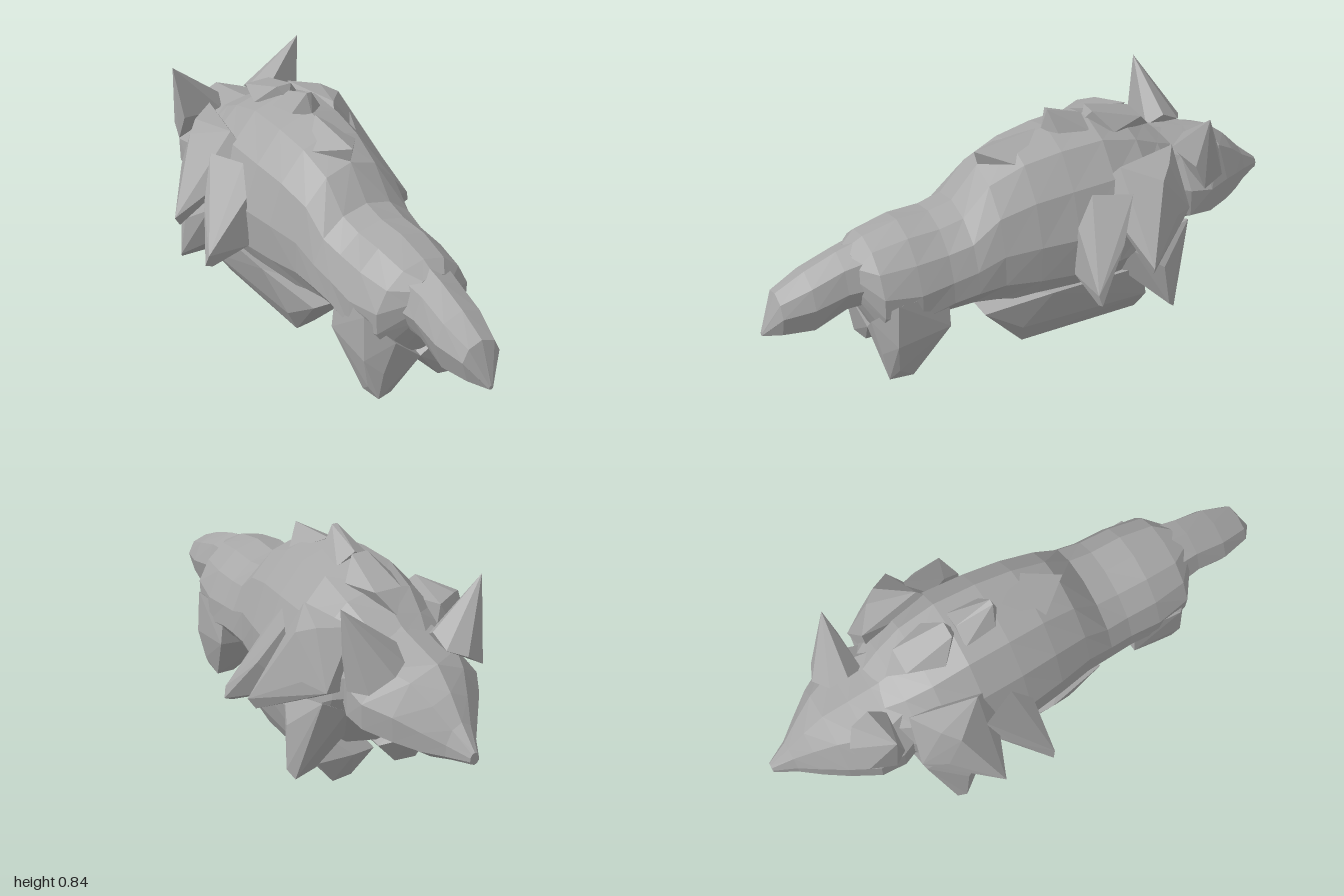
import * as THREE from 'three';
import { ConvexGeometry } from 'three/addons/geometries/ConvexGeometry.js';

const grey = new THREE.MeshStandardMaterial({ color: 0xa8a8a8 });
grey.name = 'stone grey';

// Faceted skin through sections [z, halfWidth, top, middle, bottom], ordered from +z to -z
function loft(name, sections, sides = 14, rough = 0.012) {
  const pos = [], index = [];
  sections.forEach(([z, w, top, mid, bot], i) => {
    for (let k = 0; k < sides; k++) {
      const a = (k / sides) * Math.PI * 2 + Math.PI / 2;
      const s = Math.sin(a);
      // small uneven facets, equal on both sides
      const n = 1 + rough * Math.sin(i * 5.3 + Math.abs(sides / 2 - k) * 3.7);
      pos.push(Math.cos(a) * w * n, mid + s * (s > 0 ? top - mid : mid - bot), z);
    }
  });
  const last = sections.length - 1;
  for (let i = 0; i < last; i++) {
    for (let k = 0; k < sides; k++) {
      const p = i * sides + k, q = i * sides + (k + 1) % sides;
      const r = p + sides, t = q + sides;
      if (k < sides / 2) index.push(p, r, q, q, r, t);
      else index.push(p, r, t, p, t, q);
    }
  }
  for (let k = 1; k < sides - 1; k++) {
    index.push(0, k, k + 1);
    index.push(last * sides, last * sides + k + 1, last * sides + k);
  }
  const indexed = new THREE.BufferGeometry();
  indexed.setAttribute('position', new THREE.Float32BufferAttribute(pos, 3));
  indexed.setIndex(index);
  const geo = indexed.toNonIndexed();
  geo.computeVertexNormals();
  const mesh = new THREE.Mesh(geo, grey);
  mesh.name = name;
  return mesh;
}

// Faceted solid around a few corner points; side = -1 mirrors it
function chunk(name, points, side = 1) {
  const geo = new ConvexGeometry(points.map(([x, y, z]) => new THREE.Vector3(x * side, y, z)));
  const mesh = new THREE.Mesh(geo, grey);
  mesh.name = name;
  return mesh;
}

export function createModel() {
  const model = new THREE.Group();
  model.name = 'crouchingBeast';

  // Trunk from rump to neck
  model.add(loft('body', [
    [0.67, 0.10, 0.49, 0.38, 0.29],
    [0.61, 0.19, 0.52, 0.32, 0.16],
    [0.48, 0.215, 0.55, 0.30, 0.12],
    [0.36, 0.215, 0.55, 0.32, 0.18],
    [0.27, 0.225, 0.57, 0.34, 0.18],
    [0.17, 0.235, 0.685, 0.36, 0.15],
    [0.04, 0.26, 0.745, 0.36, 0.11],
    [-0.10, 0.28, 0.77, 0.36, 0.10],
    [-0.26, 0.29, 0.775, 0.38, 0.10],
    [-0.40, 0.28, 0.73, 0.40, 0.13],
    [-0.50, 0.24, 0.67, 0.44, 0.28],
    [-0.57, 0.19, 0.63, 0.46, 0.34],
  ]));

  // Drooping tail
  model.add(loft('tail', [
    [1.0, 0.008, 0.24, 0.23, 0.225],
    [0.94, 0.075, 0.385, 0.32, 0.21],
    [0.83, 0.105, 0.44, 0.34, 0.20],
    [0.71, 0.108, 0.485, 0.37, 0.26],
    [0.58, 0.13, 0.52, 0.38, 0.27],
  ], 8));

  // Broad head tapering to the muzzle
  model.add(loft('head', [
    [-0.48, 0.20, 0.66, 0.45, 0.34],
    [-0.58, 0.24, 0.635, 0.42, 0.305],
    [-0.67, 0.235, 0.62, 0.40, 0.32],
    [-0.77, 0.175, 0.605, 0.385, 0.31],
    [-0.85, 0.115, 0.54, 0.37, 0.31],
    [-0.92, 0.06, 0.465, 0.365, 0.33],
    [-1.0, 0.017, 0.395, 0.37, 0.35],
  ], 10));

  for (const side of [1, -1]) {
    const pre = side > 0 ? 'left' : 'right';

    // Pointed ears
    model.add(chunk(pre + 'Ear', [
      [0.27, 0.80, -0.61], [0.07, 0.64, -0.63], [0.08, 0.60, -0.70],
      [0.14, 0.58, -0.74], [0.22, 0.52, -0.71], [0.25, 0.50, -0.62],
      [0.245, 0.60, -0.58], [0.09, 0.60, -0.57],
    ], side));

    // Mane locks sweeping back and down
    model.add(chunk(pre + 'UpperManeLock', [
      [0.17, 0.67, -0.52], [0.27, 0.66, -0.45], [0.32, 0.635, -0.40],
      [0.22, 0.67, -0.28], [0.45, 0.37, -0.30], [0.425, 0.33, -0.31],
      [0.28, 0.46, -0.54], [0.33, 0.48, -0.46], [0.15, 0.42, -0.50],
      [0.18, 0.58, -0.20],
    ], side));
    model.add(chunk(pre + 'RearManeLock', [
      [0.30, 0.60, -0.29], [0.24, 0.60, -0.16], [0.27, 0.50, -0.09],
      [0.43, 0.31, -0.09], [0.44, 0.27, -0.10], [0.41, 0.257, -0.10],
      [0.27, 0.31, -0.08], [0.27, 0.34, -0.27], [0.37, 0.45, -0.22],
    ], side));
    model.add(chunk(pre + 'ChestLock', [
      [0.35, 0.10, -0.45], [0.368, 0.13, -0.42], [0.355, 0.29, -0.40],
      [0.26, 0.11, -0.43], [0.23, 0.25, -0.28], [0.20, 0.37, -0.54],
      [0.29, 0.42, -0.53], [0.14, 0.20, -0.42], [0.31, 0.36, -0.30],
    ], side));

    // Long forelegs lying under the chest
    model.add(chunk(pre + 'Foreleg', [
      [0.09, 0.005, 0.07], [0.17, 0.005, 0.08], [0.09, 0.005, -0.38], [0.17, 0.005, -0.39],
      [0.22, 0.10, 0.10], [0.235, 0.10, -0.40], [0.01, 0.10, 0.12], [0.01, 0.10, -0.40],
      [0.20, 0.19, 0.24], [0.02, 0.18, 0.24], [0.265, 0.25, 0.0], [0.265, 0.25, -0.35],
      [0.12, 0.13, -0.45],
    ], side));

    // Hind legs, joined along the middle
    model.add(chunk(pre + 'HindLeg', [
      [0.10, 0, 0.51], [0.17, 0, 0.51], [0.10, 0, 0.58], [0.165, 0.005, 0.60],
      [0.19, 0.05, 0.57], [0.215, 0.17, 0.58], [0.215, 0.20, 0.38], [0.0, 0.10, 0.54],
      [0.0, 0.19, 0.36], [0.0, 0.13, 0.61], [0.16, 0.12, 0.62], [0.13, 0.25, 0.645],
      [0.21, 0.34, 0.57], [0.20, 0.34, 0.38],
    ], side));
  }

  // Tufts along the back
  model.add(chunk('rearBackTuft', [
    [0, 0.74, 0.18], [0.10, 0.70, 0.05], [-0.10, 0.70, 0.05],
    [0, 0.77, -0.06], [0, 0.68, 0.165],
  ]));
  model.add(chunk('middleBackTuft', [
    [0.01, 0.84, -0.10], [-0.01, 0.84, -0.10], [0.06, 0.765, -0.12], [-0.06, 0.765, -0.12],
    [0.07, 0.75, -0.24], [-0.07, 0.75, -0.24], [0, 0.79, -0.24], [0, 0.76, -0.08],
  ]));
  model.add(chunk('frontBackTuft', [
    [0.03, 0.80, -0.27], [-0.03, 0.80, -0.27], [0.09, 0.73, -0.33], [-0.09, 0.73, -0.33],
    [0.05, 0.74, -0.46], [-0.05, 0.74, -0.46], [0, 0.67, -0.52], [0, 0.75, -0.24],
  ]));

  return model;
}
